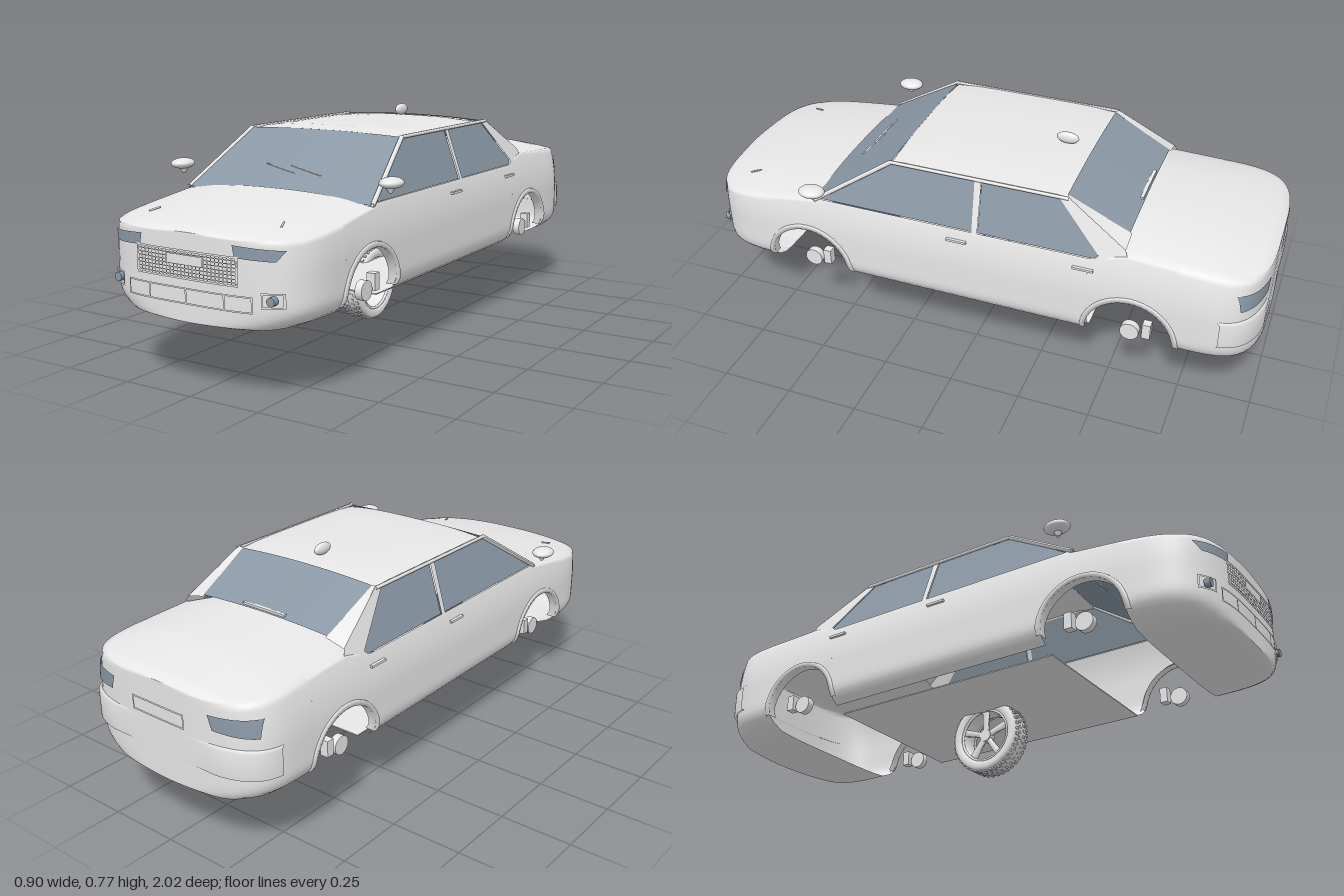
import * as THREE from 'three';
import { mergeGeometries, mergeVertices } from 'three/addons/utils/BufferGeometryUtils.js';

const body = new THREE.MeshStandardMaterial({ color: 0xebebeb, side: THREE.DoubleSide });
body.name = 'light grey paint';
const glass = new THREE.MeshStandardMaterial({ color: 0x8a98a5, side: THREE.DoubleSide });
glass.name = 'blue grey glass';

const lerp = THREE.MathUtils.lerp;
const range = (n, fn) => Array.from({ length: n + 1 }, (_, i) => fn(i / n));

// piecewise linear table lookup, keys descending
function table(pts, z) {
  for (let i = 0; i < pts.length - 1; i++) {
    const [a, p] = pts[i], [b, q] = pts[i + 1];
    if (z >= b) return lerp(p, q, Math.min(1, Math.max(0, (a - z) / (a - b))));
  }
  return pts[pts.length - 1][1];
}

// body form: plan half-width, tumblehome factor, centre line and shoulder heights
const HALF = 0.38;
const startOf = dir => (dir > 0 ? 0.6 : 0.7);
const width = z => {
  const s = startOf(z), t = Math.min(1, Math.max(0, (Math.abs(z) - s) / (1 - s)));
  return HALF * Math.pow(1 - Math.pow(t, 5), 1 / 3.5);
};
const tumble = y => (y < 0.33 ? 1 - 0.28 * ((0.33 - y) / 0.11) ** 3.5 : y > 0.4 ? 1 - 0.06 * ((y - 0.4) / 0.15) ** 2 : 1);
const topY = z => table([[1, 0.497], [0.97, 0.508], [0.9, 0.522], [0.8, 0.537], [0.55, 0.564], [0, 0.6], [-0.5, 0.625], [-0.8, 0.605], [-0.97, 0.575], [-1, 0.56]], z);
const shoulderY = z => table([[1, 0.49], [0.9, 0.492], [0.55, 0.535], [0.4, 0.54], [-0.42, 0.54], [-0.55, 0.575], [-0.8, 0.567], [-1, 0.55]], z);
// point on the nose (dir 1) or tail (dir -1) lifted by eps
const onEnd = (dir, eps = 0.004) => ([x, y]) => {
  const w = Math.min(1, Math.abs(x) / tumble(y) / HALF), s = startOf(dir);
  const t = Math.pow(1 - Math.pow(w, 3.5), 0.2);
  return [x * (1 + eps), y, dir * (s + (1 - s) * t + eps)];
};

// surface through rows of points
function sheet(rows) {
  const m = rows[0].length, idx = [];
  for (let i = 0; i < rows.length - 1; i++) for (let j = 0; j < m - 1; j++) {
    const a = i * m + j, b = a + m;
    idx.push(a, b, a + 1, b, b + 1, a + 1);
  }
  const g = new THREE.BufferGeometry();
  g.setAttribute('position', new THREE.Float32BufferAttribute(rows.flat(2), 3));
  g.setIndex(idx);
  g.computeVertexNormals();
  return g;
}
function mirrored(g) {
  const c = g.clone().scale(-1, 1, 1), ix = c.index.array;
  for (let i = 0; i < ix.length; i += 3) [ix[i], ix[i + 1]] = [ix[i + 1], ix[i]];
  c.computeVertexNormals();
  return c;
}
// four-cornered patch, bilinear, then mapped onto a surface
const patch = ([a, b, c, d], nu, nv, map = p => p) => sheet(range(nu, u => range(nv, v =>
  map(a.map((_, k) => lerp(lerp(a[k], b[k], u), lerp(d[k], c[k], u), v))))));
const rect = (x0, y0, x1, y1) => [[x0, y0], [x1, y0], [x1, y1], [x0, y1]];
const tube = (a, b, r) => new THREE.TubeGeometry(new THREE.LineCurve3(new THREE.Vector3(...a), new THREE.Vector3(...b)), 1, r, 8);

export function createModel() {
  const car = new THREE.Group();
  car.name = 'car';
  const add = (name, geo, mat = body, parent = car) => {
    const m = new THREE.Mesh(geo, mat);
    m.name = name;
    parent.add(m);
    return m;
  };
  const group = name => { const g = new THREE.Group(); g.name = name; car.add(g); return g; };

  // body shell: nose, arches, middle and tail
  const AR = 0.15, AY = 0.268, AZ = 0.585;
  const archCols = c => range(16, t => c + AR * Math.cos(t * Math.PI));
  const archY = c => z => AY + Math.sqrt(Math.max(0, AR * AR - (z - c) ** 2));
  const endY = z => 0.229 + 0.008 * Math.max(0, (Math.abs(z) - 0.93) / 0.07) ** 2;
  const sections = [
    { zs: range(18, t => 1 - 0.265 * t ** 3), low: endY, closed: true },
    { zs: archCols(AZ), low: archY(AZ) },
    { zs: range(20, t => lerp(0.435, -0.435, t)), low: () => 0.245 },
    { zs: archCols(-AZ), low: archY(-AZ) },
    { zs: range(18, t => -1 + 0.265 * (1 - t) ** 3), low: endY, closed: true },
  ];
  const parts = [];
  for (const { zs, low, closed } of sections) {
    parts.push(sheet(zs.map(z => range(18, v => {
      const y = lerp(low(z), shoulderY(z), v);
      return [width(z) * tumble(y), y, z];
    }))));
    const covered = zs.filter(z => z > 0.55 || z < -0.5);
    if (covered.length > 1) parts.push(sheet(covered.map(z => range(12, v => {
      const s = shoulderY(z), u = 1 - v;
      return [width(z) * tumble(s) * u, s + (topY(z) - s) * (1 - u ** 2.5), z];
    }))));
    if (closed) parts.push(sheet(zs.map(z => range(8, u =>
      [width(z) * tumble(low(z)) * u, low(z) - 0.008 * (1 - u ** 4), z]))));
  }
  const shell = mergeGeometries([...parts, ...parts.map(mirrored)]);
  shell.deleteAttribute('normal');
  const smoothShell = mergeVertices(shell, 1e-4);
  smoothShell.computeVertexNormals();
  add('bodyShell', smoothShell);
  add('floorPan', new THREE.BoxGeometry(0.6, 0.004, 0.87)).position.y = 0.227;

  // roof and screens
  add('roof', patch([[-0.3, 0.72, 0.28], [0.3, 0.72, 0.28], [0.3, 0.72, -0.34], [-0.3, 0.72, -0.34]], 16, 8,
    ([x, y, z]) => [x, y + 0.015 * (1 - Math.abs(x / 0.3) ** 3) - 0.01 * Math.abs((z + 0.03) / 0.31) ** 6, z]));
  add('windscreen', patch([[-0.357, 0.54, 0.56], [0.357, 0.54, 0.56], [0.3, 0.715, 0.28], [-0.3, 0.715, 0.28]], 16, 8,
    ([x, y, z]) => [x, y + 0.01 * (1 - (x / 0.36) ** 2), z + 0.01 * (1 - (x / 0.36) ** 2) * (0.72 - y) / 0.18]), glass);
  add('rearScreen', patch([[-0.285, 0.72, -0.335], [0.285, 0.72, -0.335], [0.27, 0.615, -0.545], [-0.27, 0.615, -0.545]], 12, 6,
    ([x, y, z]) => [x, y + 0.01 * (1 - (x / 0.28) ** 2), z]), glass);
  add('rearScreenTrim', new THREE.BoxGeometry(0.18, 0.008, 0.012)).position.set(0, 0.632, -0.535);

  // cabin sides: painted frame with two window openings, leaning inwards
  const lean = (g, off = 0) => {
    const p = g.attributes.position;
    for (let i = 0; i < p.count; i++) {
      const z = p.getX(i), y = p.getY(i);
      p.setXYZ(i, 0.36 - 0.06 * (y - 0.54) / 0.18 + off, y, z);
    }
    g.computeVertexNormals();
    return g;
  };
  const v2 = pts => pts.map(p => new THREE.Vector2(...p));
  const windows = [
    [[0.53, 0.545], [0.29, 0.712], [-0.022, 0.716], [-0.03, 0.545]],
    [[-0.05, 0.545], [-0.046, 0.716], [-0.315, 0.712], [-0.465, 0.56], [-0.45, 0.545]],
  ];
  const frame = new THREE.Shape(v2([[0.56, 0.535], [0.28, 0.724], [-0.34, 0.724], [-0.55, 0.595], [-0.56, 0.57], [-0.47, 0.535]]));
  windows.forEach(w => frame.holes.push(new THREE.Path(v2(w))));
  const frameGeo = lean(new THREE.ShapeGeometry(frame));
  const paneGeos = windows.map(w => lean(new THREE.ShapeGeometry(new THREE.Shape(v2(w))), -0.004));
  const cPillar = patch([[0.3, 0.724, -0.34], [0.283, 0.722, -0.335], [0.268, 0.612, -0.55], [0.342, 0.594, -0.55]], 3, 6);

  for (const s of [1, -1]) {
    const side = group(s > 0 ? 'leftSide' : 'rightSide');
    const put = (name, geo, mat) => add(name, s > 0 ? geo : mirrored(geo), mat, side);
    put('cabinFrame', frameGeo);
    put('frontDoorWindow', paneGeos[0], glass);
    put('rearDoorWindow', paneGeos[1], glass);
    put('rearPillar', cPillar);
    put('frontPillar', tube([0.36, 0.54, 0.555], [0.302, 0.718, 0.28], 0.008));
    put('roofRail', tube([0.302, 0.718, 0.285], [0.302, 0.718, -0.345], 0.006));
    for (const z of [0.02, -0.42]) put('doorHandle', new THREE.BoxGeometry(0.012, 0.008, 0.07).translate(0.372, 0.507, z));
    put('washerJet', tube([0.235, 0.524, 0.84], [0.25, 0.516, 0.875], 0.003));

    // arch lips, brake discs and calipers
    for (const c of [AZ, -AZ]) {
      const ring = (r, dx) => t => {
        const a = t * Math.PI, y = AY + r * Math.sin(a);
        return [HALF * tumble(y) + dx, y, c + r * Math.cos(a)];
      };
      put('archLip', sheet(range(24, t => [ring(AR, -0.03)(t), ring(AR, 0.005)(t), ring(AR + 0.016, 0.005)(t), ring(AR + 0.018, -0.002)(t)])));
      put('brakeDisc', new THREE.CylinderGeometry(0.032, 0.032, 0.025, 24).rotateZ(Math.PI / 2).translate(0.345, 0.28, c));
      put('brakeCaliper', new THREE.BoxGeometry(0.03, 0.056, 0.028).translate(0.345, 0.297, c - 0.057));
    }

    // door mirror
    put('mirrorHousing', new THREE.SphereGeometry(1, 24, 16).scale(0.037, 0.018, 0.046).translate(0.411, 0.611, 0.53));
    put('mirrorStalk', new THREE.CylinderGeometry(0.02, 0.006, 0.026, 12).translate(0.407, 0.592, 0.53));

    // lamps
    put('headlamp', patch([[0.175, 0.442], [0.295, 0.436], [0.318, 0.468], [0.168, 0.478]], 14, 4, onEnd(1)), glass);
    put('tailLamp', patch([[0.215, 0.465], [0.347, 0.455], [0.348, 0.515], [0.2, 0.512]], 18, 4, onEnd(-1)), glass);
    const fog = onEnd(1, 0.007);
    [[0.255, 0.302, 0.317, 0.308], [0.255, 0.342, 0.317, 0.348], [0.255, 0.302, 0.261, 0.348], [0.311, 0.302, 0.317, 0.348]]
      .forEach(r => put('fogLampFrame', patch(rect(...r), 6, 1, fog)));
    put('fogLamp', new THREE.CylinderGeometry(0.014, 0.014, 0.02, 20).rotateX(Math.PI / 2).translate(...fog([0.285, 0.325])), glass);
  }

  // strips laid on the nose or tail
  const strips = (name, dir, eps, list) => {
    const g = group(name);
    list.forEach(r => add(name + 'Bar', patch(rect(...r), 12, 1, onEnd(dir, eps)), body, g));
  };
  const border = (x, y0, y1, w) => [[-x, y0, x, y0 + w], [-x, y1 - w, x, y1], [-x, y0, -x + w, y1], [x - w, y0, x, y1]];
  strips('grille', 1, 0.006, [
    ...border(0.188, 0.358, 0.446, 0.006),
    ...range(26, t => lerp(-0.18, 0.18, t)).map(x => [x - 0.0015, 0.36, x + 0.0015, 0.444]),
    ...range(6, t => lerp(0.37, 0.434, t)).map(y => [-0.185, y - 0.0015, 0.185, y + 0.0015]),
  ]);
  strips('frontPlate', 1, 0.009, [[-0.066, 0.402, 0.066, 0.432]]);
  strips('lowerIntake', 1, 0.005, [...border(0.23, 0.284, 0.334, 0.005), ...[-0.138, 0, 0.138].map(x => [x - 0.003, 0.286, x + 0.003, 0.33])]);
  strips('rearPlateFrame', -1, 0.007, border(0.11, 0.435, 0.485, 0.006));

  // wraparound rear bumper
  const wrap = onEnd(-1, 0.004);
  add('rearBumper', sheet(range(60, t => {
    const x = 0.374 * Math.sin((t - 0.5) * Math.PI);
    return [[0.318, 1], [0.322, 1.012], [0.41, 1.012], [0.418, 1]].map(([y, k]) => {
      const [px, py, pz] = wrap([x, y]);
      return [px * k, py, Math.max(-1, pz * (k > 1 ? 1.006 : 0.995))];
    });
  })));

  // wipers and roof aerial
  for (const x of [-0.045, 0.055]) {
    const w = add('wiper', new THREE.BoxGeometry(0.135, 0.003, 0.005));
    w.position.set(x, 0.613, 0.467);
    w.rotation.set(0, -0.2, -0.15);
  }
  add('roofAerial', new THREE.SphereGeometry(1, 20, 14).scale(0.014, 0.021, 0.04)).position.set(0, 0.755, -0.245);

  // single wheel below the middle of the car
  const wheel = group('wheel');
  wheel.position.set(0, 0.136, 0);
  const profile = v2([[0.094, -0.036], [0.1, -0.044], [0.118, -0.046], [0.128, -0.04], [0.131, -0.028], [0.132, 0],
    [0.131, 0.028], [0.128, 0.04], [0.118, 0.046], [0.1, 0.044], [0.094, 0.036], [0.086, 0.02], [0.086, -0.02], [0.094, -0.036]]);
  add('tyre', new THREE.LatheGeometry(profile, 48).rotateZ(Math.PI / 2), body, wheel);
  for (const x of [-0.036, 0.036])
    add('rimLip', new THREE.TorusGeometry(0.093, 0.005, 8, 48).rotateY(Math.PI / 2).translate(x, 0, 0), body, wheel);
  const block = new THREE.BoxGeometry(0.013, 0.006, 0.009);
  const blocks = [];
  for (let i = 0; i < 40; i++) [-0.03, -0.011, 0.011, 0.03].forEach((x, k) =>
    blocks.push(block.clone().translate(x, 0.131, 0).rotateX((i + (k % 2) / 2) * Math.PI / 20)));
  add('treadBlocks', mergeGeometries(blocks), body, wheel);
  add('hub', new THREE.CylinderGeometry(0.022, 0.022, 0.03, 20).rotateZ(Math.PI / 2).translate(-0.022, 0, 0), body, wheel);
  for (let i = 0; i < 5; i++)
    add('spoke', new THREE.CylinderGeometry(0.016, 0.012, 0.08, 4, 1).rotateY(Math.PI / 4).scale(0.6, 1, 1).translate(-0.028, 0.05, 0).rotateX(i * Math.PI * 0.4), body, wheel);
  return car;
}
